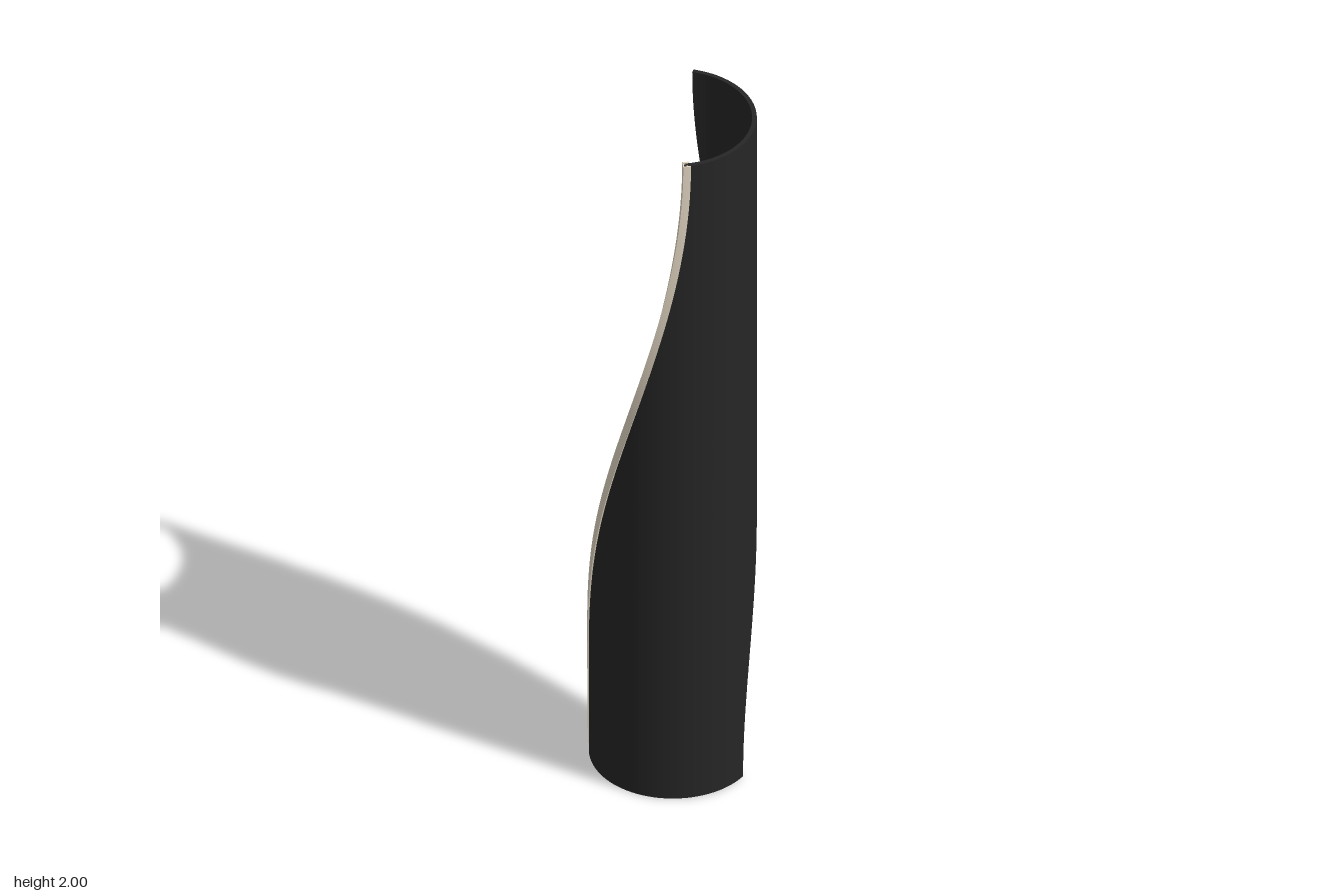
import * as THREE from 'three';

const HEIGHT = 2;
const AXIS_Z = -0.035; // cylinder axis sits slightly behind the origin
const TWIST = 109;     // degrees turned from bottom to top, eased at both ends

// Curved bar: a box bent round the axis and twisted with height.
// Angles in degrees, 0 = front (+z), positive towards +x.
function twistedBar(name, rInner, rOuter, start, end, arcSegments, material) {
  const geometry = new THREE.BoxGeometry(1, 1, 1, arcSegments, 96, 1);
  const p = geometry.attributes.position;
  for (let i = 0; i < p.count; i++) {
    const t = p.getY(i) + 0.5;
    const angle = THREE.MathUtils.degToRad(
      THREE.MathUtils.lerp(start, end, p.getX(i) + 0.5) + TWIST * THREE.MathUtils.smoothstep(t, 0, 1));
    const r = THREE.MathUtils.lerp(rInner, rOuter, p.getZ(i) + 0.5);
    p.setXYZ(i, r * Math.sin(angle), t * HEIGHT, AXIS_Z + r * Math.cos(angle));
  }
  geometry.computeVertexNormals();
  const mesh = new THREE.Mesh(geometry, material);
  mesh.name = name;
  return mesh;
}

export function createModel() {
  const group = new THREE.Group();
  group.name = 'twistedShell';
  const dark = new THREE.MeshStandardMaterial({ color: 0x262626 });
  const cream = new THREE.MeshStandardMaterial({ color: 0xe6dac6 });

  // Open shell wall
  group.add(twistedBar('shell', 0.203, 0.215, -133.5, 24.5, 64, dark));

  // Pale trim along one edge, slightly proud of the wall
  group.add(twistedBar('edgeTrim', 0.196, 0.219, -134.2, -129, 4, cream));

  // Short round knob inside the shell, pointing backwards
  const knob = new THREE.Mesh(new THREE.CylinderGeometry(0.05, 0.05, 0.125, 32), dark);
  knob.name = 'knob';
  knob.rotation.x = Math.PI / 2;
  knob.position.set(0.002, 1, 0.03);
  group.add(knob);

  return group;
}
